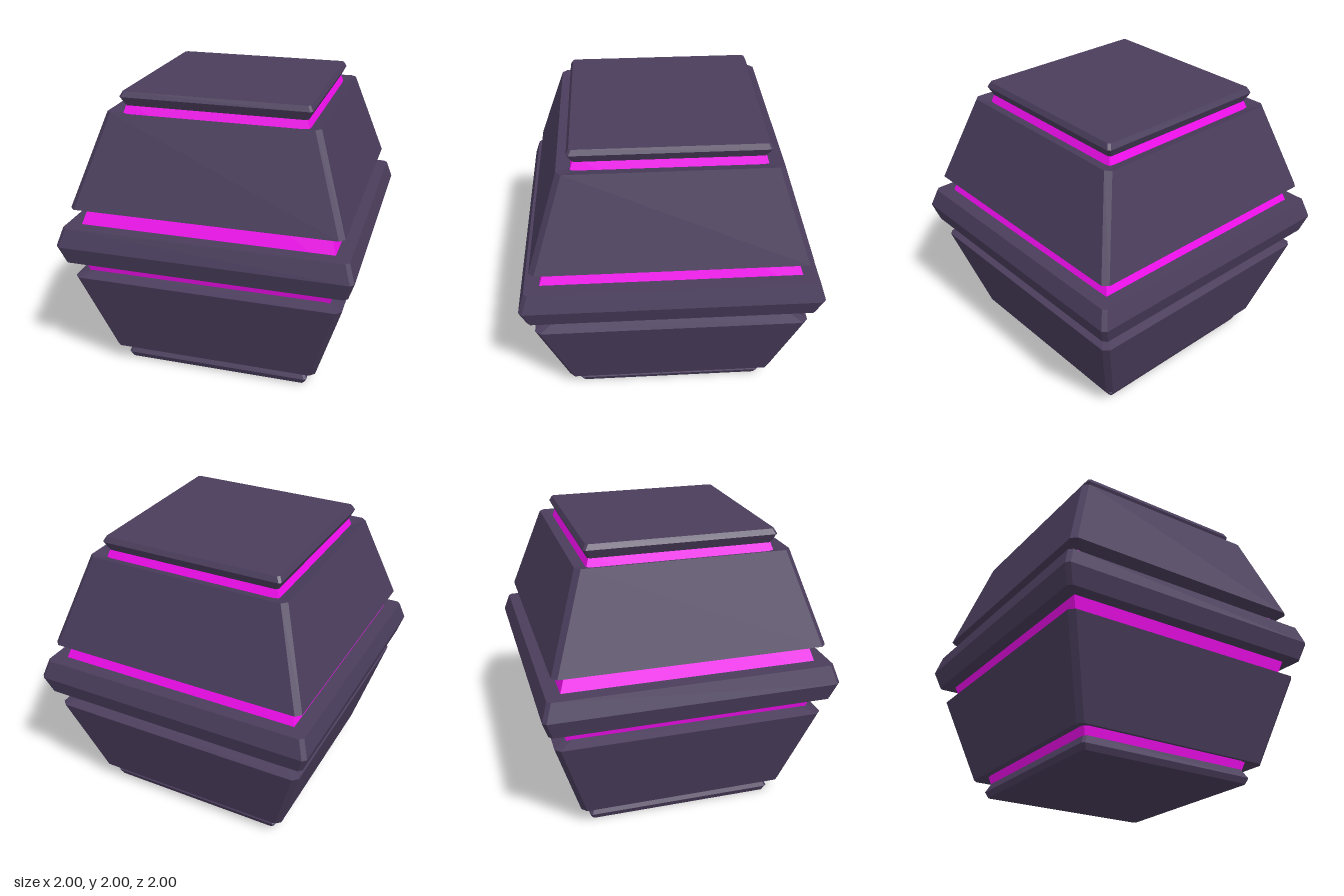
import * as THREE from 'three';

const shellMat = new THREE.MeshStandardMaterial({ color: 0x4a3d5c, flatShading: true });
const glowMat = new THREE.MeshStandardMaterial({ color: 0xf40ef0, flatShading: true });

// Square outline of half width h with corners cut by c (c = 0 keeps them sharp)
function outline(y, h, c) {
  const pts = [];
  for (let i = 0; i < 4; i++) {
    const corner = c > 0 ? [[h, h - c], [h - c, h]] : [[h, h]];
    const a = i * Math.PI / 2, cos = Math.round(Math.cos(a)), sin = Math.round(Math.sin(a));
    for (const [x, z] of corner) pts.push([x * cos - z * sin, y, x * sin + z * cos]);
  }
  return pts;
}

// Stacks square outlines [y, halfWidth] from bottom to top into a faceted solid
function loft(name, sections, chamfer, material, capped = true) {
  const rings = sections.map(([y, h]) => outline(y, h, chamfer));
  const n = rings[0].length, pos = [];
  const tri = (a, b, c) => pos.push(...a, ...b, ...c);
  for (let r = 0; r < rings.length - 1; r++) {
    const lo = rings[r], hi = rings[r + 1];
    for (let i = 0; i < n; i++) {
      const j = (i + 1) % n;
      tri(lo[i], hi[i], hi[j]);
      tri(lo[i], hi[j], lo[j]);
    }
  }
  if (capped) {
    const bottom = rings[0], top = rings[rings.length - 1];
    for (let i = 1; i < n - 1; i++) {
      tri(bottom[0], bottom[i], bottom[i + 1]);
      tri(top[0], top[i + 1], top[i]);
    }
  }
  const geo = new THREE.BufferGeometry();
  geo.setAttribute('position', new THREE.Float32BufferAttribute(pos, 3));
  geo.computeVertexNormals();
  const mesh = new THREE.Mesh(geo, material);
  mesh.name = name;
  return mesh;
}

export function createModel() {
  const group = new THREE.Group();
  group.name = 'crate';
  group.add(
    // Bright inner core seen through the gaps
    loft('glowingCore', [[0.06, 0.617], [1, 0.903], [1.94, 0.593]], 0, glowMat),
    // Foot and lid plates
    loft('bottomPlate', [[0, 0.645], [0.04, 0.663], [0.1, 0.632]], 0.015, shellMat),
    loft('topPlate', [[1.905, 0.61], [1.965, 0.64], [2, 0.622]], 0.015, shellMat),
    // Sloping armour shells, their rims running back to the core
    loft('lowerShell', [[0.16, 0.64], [0.13, 0.732], [0.752, 0.92], [0.78, 0.83]], 0.035, shellMat, false),
    loft('upperShell', [[1.228, 0.825], [1.255, 0.917], [1.876, 0.708], [1.848, 0.617]], 0.035, shellMat, false),
    // Waist belt
    loft('middleBelt', [[0.88, 0.96], [1.005, 1], [1.13, 0.96]], 0.025, shellMat),
  );
  return group;
}
